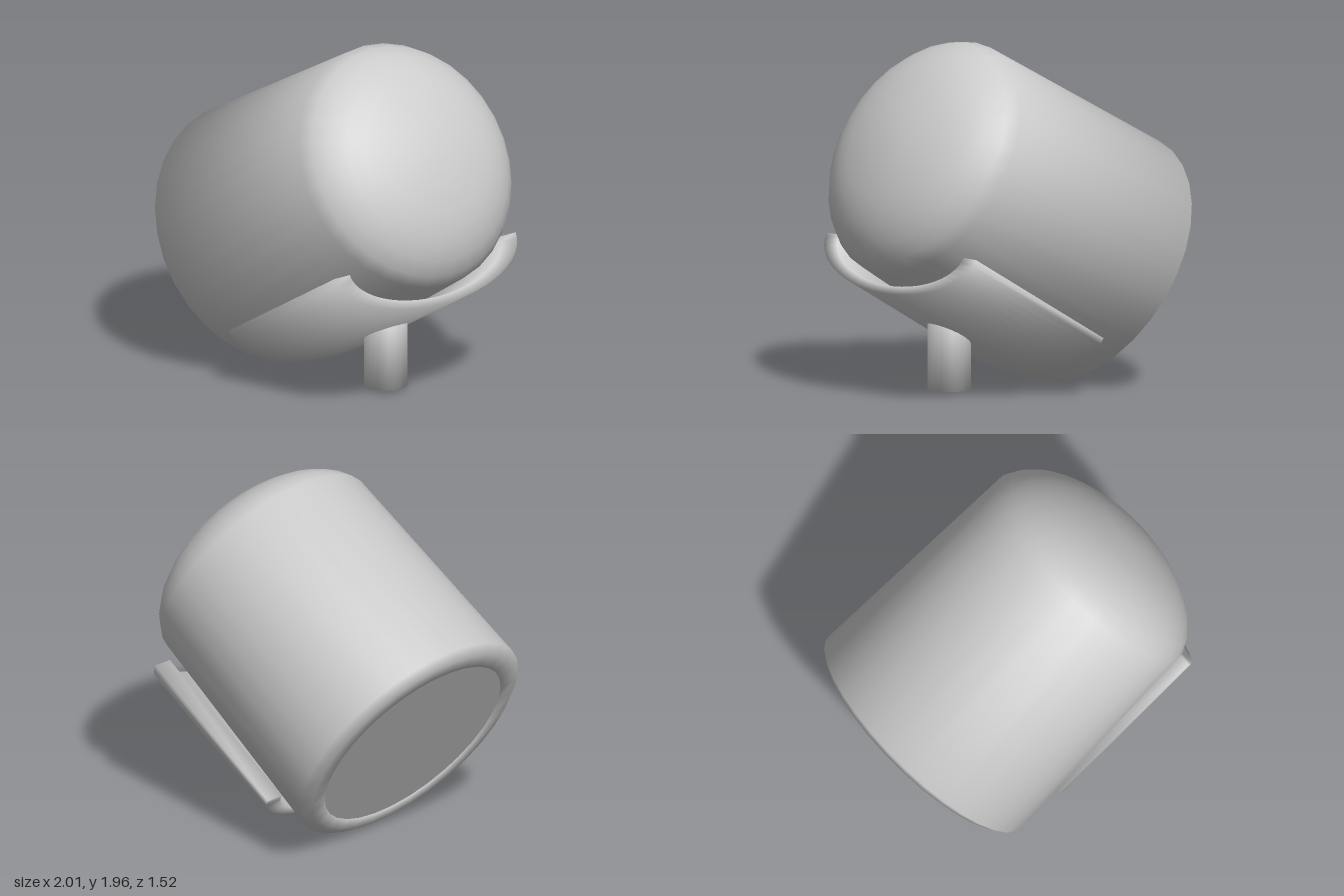
import * as THREE from 'three';
import { toCreasedNormals, mergeGeometries } from 'three/addons/utils/BufferGeometryUtils.js';

export function createModel() {
  const model = new THREE.Group();
  model.name = 'tiltedDomedVessel';
  const material = new THREE.MeshStandardMaterial({ color: 0xcccccc });
  // Every edge is smooth-shaded for a soft, rounded look
  const add = (parent, name, geometry) => {
    const mesh = new THREE.Mesh(toCreasedNormals(geometry, Math.PI), material);
    mesh.name = name;
    parent.add(mesh);
    return mesh;
  };
  const lathe = (profile, segments, arc) => new THREE.LatheGeometry(
    profile.map(([r, y]) => new THREE.Vector2(r, y)), segments, 0, arc);

  // Body and cradle share one axis, leaning 60 degrees towards +x
  const tilted = new THREE.Group();
  tilted.name = 'tiltedAssembly';
  tilted.position.set(-0.655, 0.643, 0);
  tilted.rotation.z = -Math.PI / 3;
  model.add(tilted);

  // Body: rim with an inner lip, small bevel, slight taper and shallow dome
  add(tilted, 'body', lathe([
    [0.61, 0.06], [0.61, 0], [0.70, 0], [0.758, 0.04], [0.71, 1.41], [0.67, 1.487], [0.60, 1.56],
    [0.52, 1.613], [0.44, 1.652], [0.35, 1.683], [0.18, 1.72], [0, 1.73],
  ], 32, Math.PI * 2));

  // Flat disc closing the base inside the rim
  const plug = new THREE.CircleGeometry(0.61, 32);
  plug.rotateX(Math.PI / 2);
  add(tilted, 'basePlate', plug).position.y = 0.005;

  // Cradle: half of an elliptical ring under the body, with flat top edges
  const length = 1.06, halfWidth = 0.66, inner = 0.833;
  const shell = lathe([[inner, 0], [1, 0], [1, length], [inner, length], [inner, 0]], 24, Math.PI);
  shell.scale(0.288, 1, halfWidth);
  const edges = [-1, 1].map((side) => {
    const edge = new THREE.PlaneGeometry(halfWidth * (1 - inner), length);
    edge.rotateY(-Math.PI / 2);
    return edge.translate(0, length / 2, side * halfWidth * (1 + inner) / 2);
  });
  add(tilted, 'cradle', mergeGeometries([shell, ...edges])).position.set(0.51, 0.265, 0);

  // Upright peg, its top buried in the cradle
  add(model, 'supportPeg', new THREE.CylinderGeometry(0.122, 0.122, 0.425, 24)).position.set(0.404, 0.2375, 0);

  return model;
}
